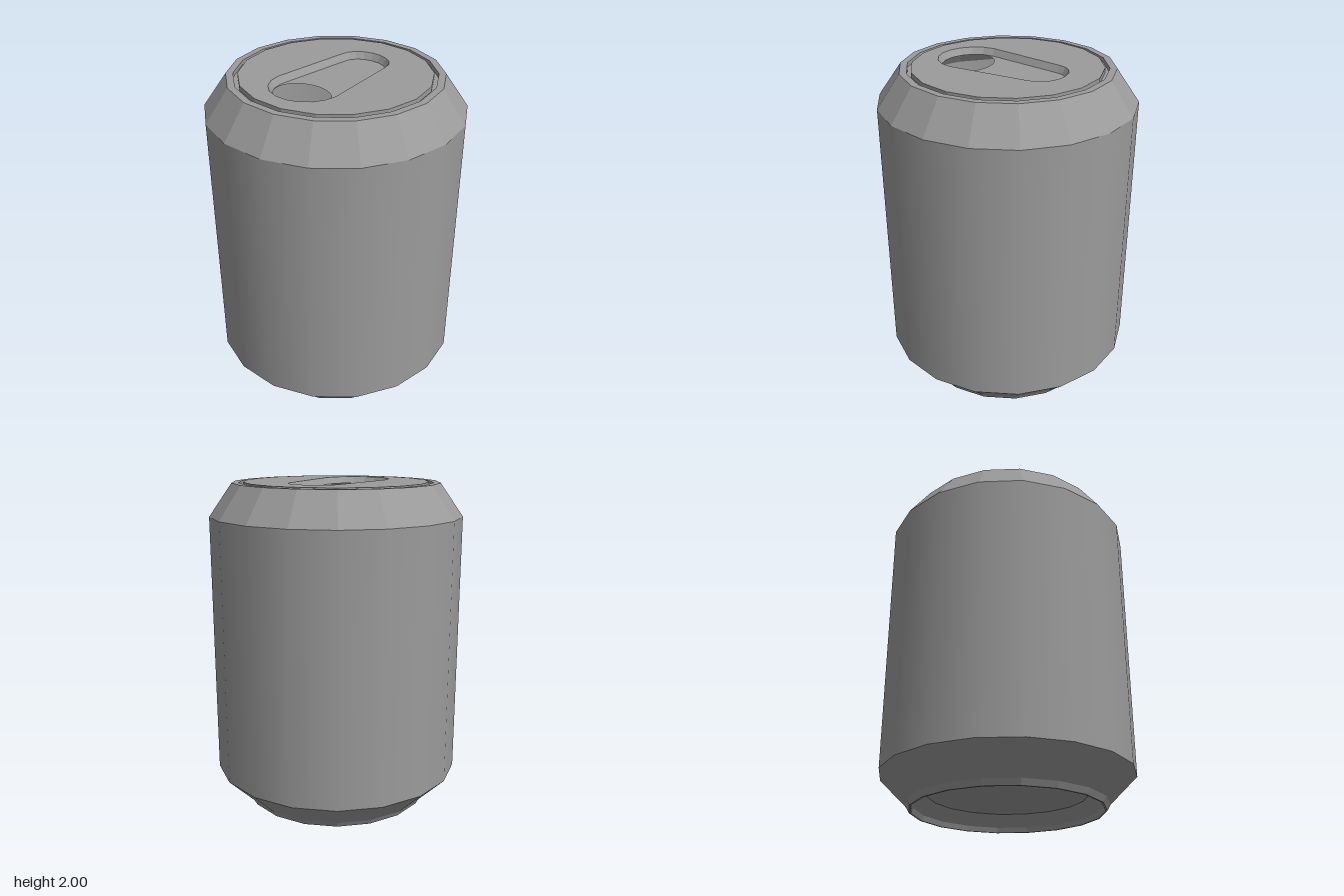
import * as THREE from 'three';

const SIDES = 18;
const LID_Y = 2, RECESS_Y = 1.96;

const makeMaterial = (flat) => new THREE.MeshStandardMaterial({
  color: 0x9b9b9b, flatShading: flat, side: THREE.DoubleSide,
});

// Revolved band with a corner on the x axis
function band(name, profile, flat) {
  const points = profile.map(([r, y]) => new THREE.Vector2(r, y));
  const geometry = new THREE.LatheGeometry(points, SIDES, Math.PI / 2);
  const mesh = new THREE.Mesh(geometry, makeMaterial(flat));
  mesh.name = name;
  return mesh;
}

// Horizontal plate from a shape drawn in (x, -z)
function plate(name, outline, hole, y) {
  const shape = new THREE.Shape(outline);
  shape.holes.push(new THREE.Path(hole));
  const geometry = new THREE.ShapeGeometry(shape);
  geometry.rotateX(-Math.PI / 2);
  const mesh = new THREE.Mesh(geometry, makeMaterial(true));
  mesh.name = name;
  mesh.position.y = y;
  return mesh;
}

// Points along an elliptical arc
function arc(cy, rx, ry, start, sweep, segments) {
  const points = [];
  for (let i = 0; i <= segments; i++) {
    const a = start + (sweep * i) / segments;
    points.push(new THREE.Vector2(rx * Math.cos(a), cy + ry * Math.sin(a)));
  }
  return points;
}

// Tapered slot: narrow round end at the back, wide one at the front
function slot(inset) {
  return [
    ...arc(0.25, 0.163 - inset, 0.13 - inset, 0, Math.PI, 9),
    ...arc(-0.25, 0.214 - inset, 0.206 - inset, Math.PI, Math.PI, 9),
  ];
}

// Sloping wall joining two outlines
function wall(name, upper, lower, yUpper, yLower) {
  const positions = [], index = [], n = upper.length;
  for (let i = 0; i < n; i++) {
    positions.push(upper[i].x, yUpper, -upper[i].y, lower[i].x, yLower, -lower[i].y);
    const a = 2 * i, b = 2 * ((i + 1) % n);
    index.push(a, b, a + 1, b, b + 1, a + 1);
  }
  const geometry = new THREE.BufferGeometry();
  geometry.setAttribute('position', new THREE.Float32BufferAttribute(positions, 3));
  geometry.setIndex(index);
  geometry.computeVertexNormals();
  const mesh = new THREE.Mesh(geometry, makeMaterial(true));
  mesh.name = name;
  return mesh;
}

export function createModel() {
  const can = new THREE.Group();
  can.name = 'drinkCan';

  // Smooth side wall
  can.add(band('body', [[0.766, 0.2], [0.766, 1.8]], false));

  // Faceted shoulder, top rim and the groove around the lid
  can.add(band('shoulder', [[0.766, 1.8], [0.628, 1.996]], true));
  can.add(band('topRim', [
    [0.628, 1.996], [0.586, 1.996], [0.586, 1.97], [0.56, 1.97], [0.56, LID_Y],
  ], true));

  // Faceted base, standing ring and sunken bottom
  can.add(band('base', [[0.6, 0.035], [0.766, 0.2]], true));
  can.add(band('standingRing', [[0.48, 0.1], [0.555, 0.03], [0.57, 0], [0.58, 0], [0.6, 0.035]], true));
  can.add(band('bottomPanel', [[0, 0.1], [0.48, 0.1]], true));

  // Lid with the tapered recess and drinking hole
  const upper = slot(0), lower = slot(0.022);
  const rim = arc(0, 0.56, 0.56, 0, Math.PI * 2, SIDES).slice(0, -1);
  const opening = arc(-0.286, 0.178, 0.141, 0, Math.PI * 2, 32).slice(0, -1);
  can.add(plate('lid', rim, upper, LID_Y));
  can.add(wall('recessWall', upper, lower, LID_Y, RECESS_Y));
  can.add(plate('recessFloor', lower, opening, RECESS_Y));

  return can;
}
